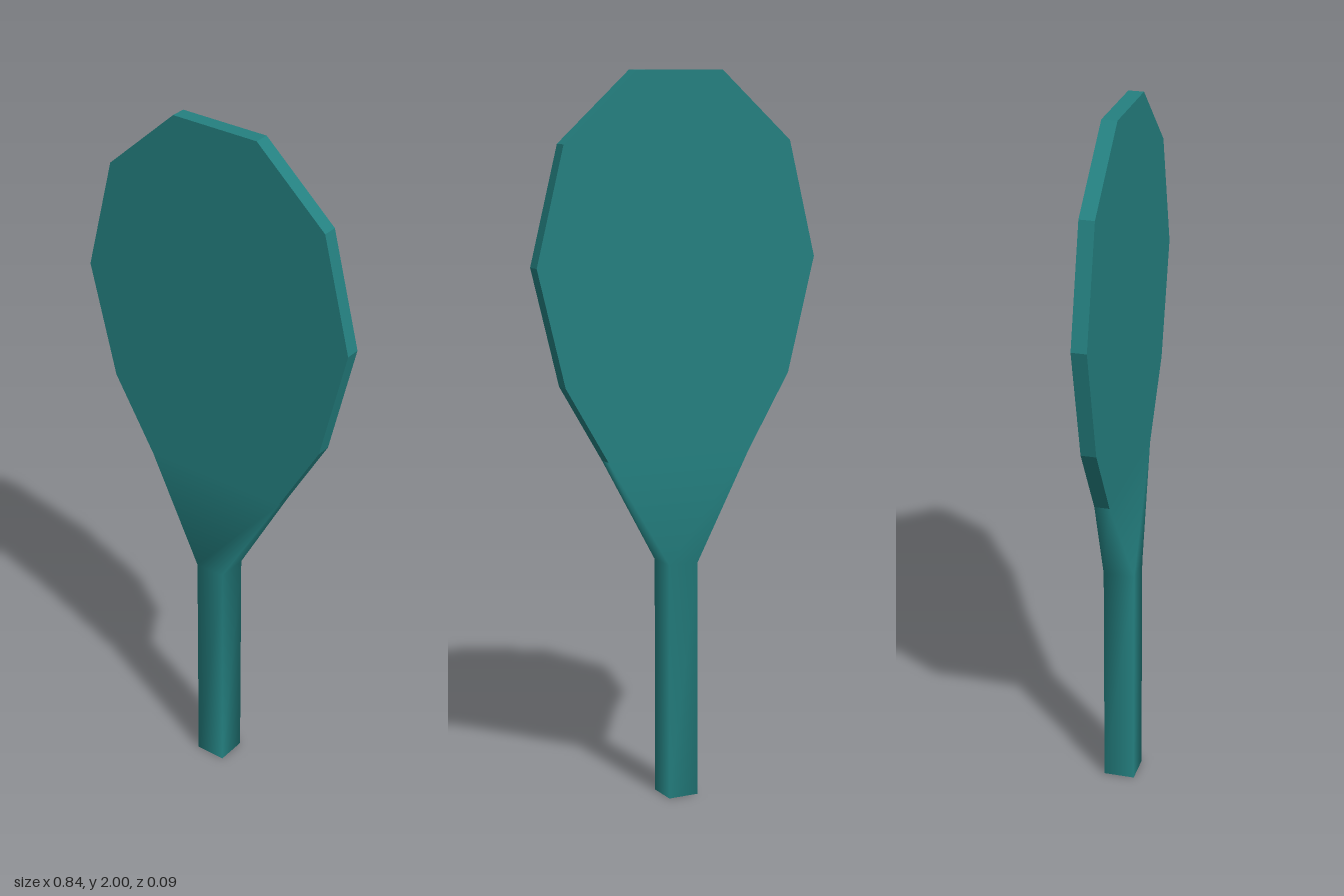
import * as THREE from 'three';

// Four corners of a rectangular section, counter-clockwise from above
const CORNERS = [[1, 1], [1, -1], [-1, -1], [-1, 1]];

// Skin stacked rectangular sections: rows of [halfWidth, halfDepth, y]
function loft(rows) {
  const positions = [];
  const index = [];
  for (const [w, d, y] of rows) {
    for (const [sx, sz] of CORNERS) positions.push(sx * w, y, sz * d);
  }
  for (let i = 0; i < rows.length - 1; i++) {
    for (let k = 0; k < 4; k++) {
      const a = i * 4 + k, b = i * 4 + (k + 1) % 4;
      index.push(a, b, b + 4, a, b + 4, a + 4);
    }
  }
  const geometry = new THREE.BufferGeometry();
  geometry.setAttribute('position', new THREE.Float32BufferAttribute(positions, 3));
  geometry.setIndex(index);
  geometry.computeVertexNormals();
  return geometry;
}

export function createModel() {
  const group = new THREE.Group();
  group.name = 'paddle';
  const smooth = new THREE.MeshStandardMaterial({ color: 0x248080 });
  const flat = new THREE.MeshStandardMaterial({ color: 0x248080, flatShading: true });

  const add = (name, geometry, material) => {
    const mesh = new THREE.Mesh(geometry, material);
    mesh.name = name;
    group.add(mesh);
    return mesh;
  };

  const grip = 0.044, thin = 0.021;
  const neck = [0.215, thin, 0.96];

  // Square handle flaring into the thin blade, with softened corners
  const handle = loft([[grip, grip, 0], [grip, grip, 0.665], neck]);
  const normals = handle.attributes.normal;
  CORNERS.forEach(([, sz], k) => {
    normals.setXYZ(8 + k, 0, 0, sz); // blends into the flat blade faces
  });
  add('handle', handle, smooth);

  // Faceted flat blade
  add('blade', loft([
    neck,
    [0.34, thin, 1.17],
    [0.42, thin, 1.49],
    [0.34, thin, 1.81],
    [0.13, thin, 2],
  ]), flat);

  // End faces of the handle and the blade
  const handleEnd = new THREE.PlaneGeometry(grip * 2, grip * 2).rotateX(Math.PI / 2);
  add('handleEnd', handleEnd, flat);
  const bladeTip = new THREE.PlaneGeometry(0.26, thin * 2).rotateX(-Math.PI / 2);
  add('bladeTip', bladeTip, flat).position.y = 2;

  return group;
}
